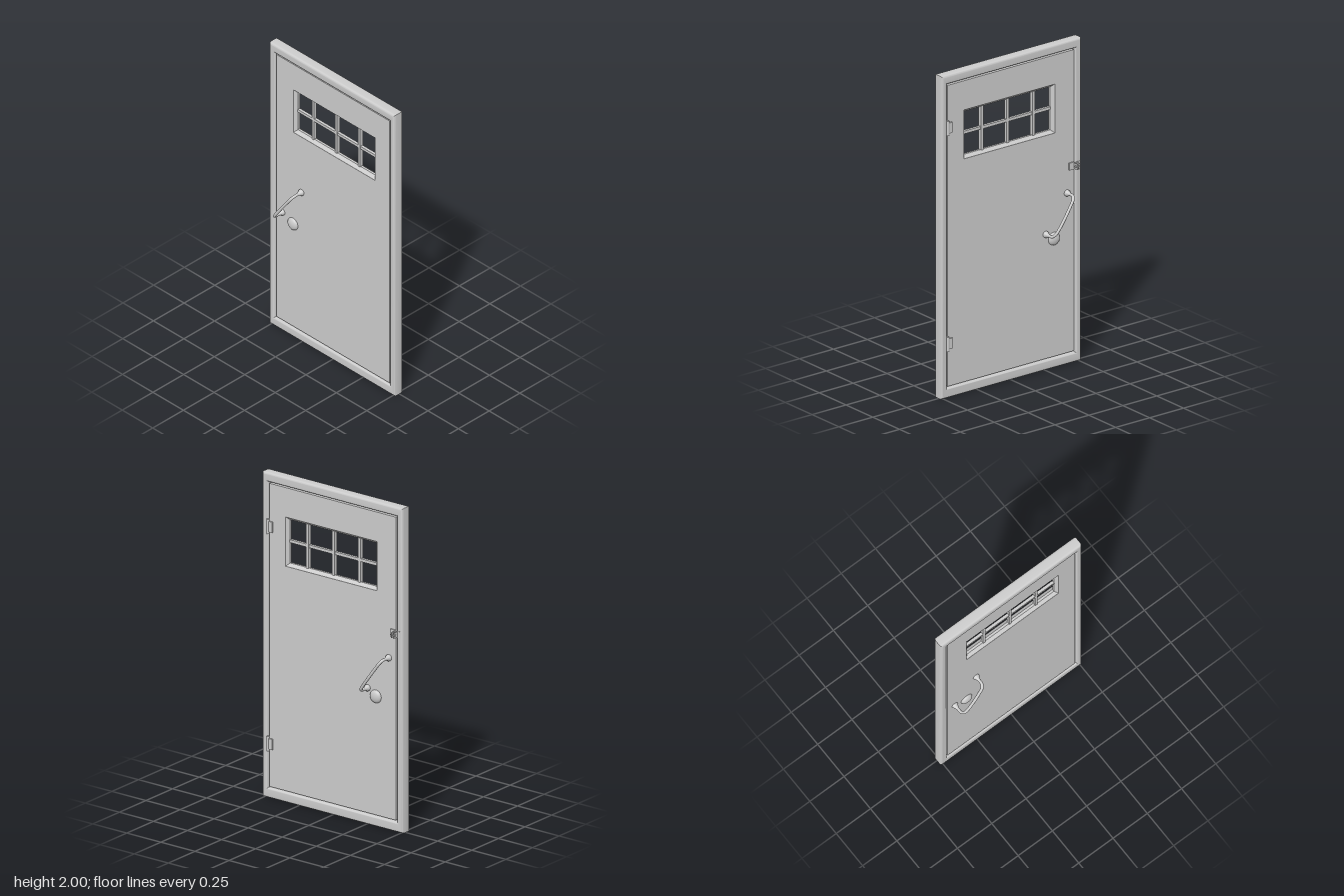
import * as THREE from 'three';
import { toCreasedNormals } from 'three/addons/utils/BufferGeometryUtils.js';

const material = new THREE.MeshStandardMaterial({ color: 0xcccccc });
const FACE = { back: -0.032, front: 0.024 }; // faces of the door leaf along x
const MID = (FACE.back + FACE.front) / 2;

function add(parent, name, geometry, x = 0, y = 0, z = 0) {
  const mesh = new THREE.Mesh(geometry, material);
  mesh.name = name;
  mesh.position.set(x, y, z);
  parent.add(mesh);
  return mesh;
}

function box(parent, name, sx, sy, sz, x, y, z) {
  return add(parent, name, new THREE.BoxGeometry(sx, sy, sz), x, y, z);
}

// Rectangle outline; u runs along -z
function rect(Type, u0, u1, y0, y1) {
  const p = new Type();
  p.moveTo(u0, y0);
  p.lineTo(u1, y0);
  p.lineTo(u1, y1);
  p.lineTo(u0, y1);
  p.closePath();
  return p;
}

// Rectangular slab with a rectangular hole, lying between x0 and x1
function ring(outer, inner, x0, x1, bevel = 0, slope = 0, segments = 1) {
  const shape = rect(THREE.Shape, ...outer);
  shape.holes.push(rect(THREE.Path, ...inner));
  const g = new THREE.ExtrudeGeometry(shape, {
    depth: x1 - x0 - 2 * bevel,
    bevelEnabled: bevel > 0,
    bevelThickness: bevel,
    bevelSize: slope,
    bevelOffset: -slope,
    bevelSegments: segments,
  });
  g.translate(0, 0, x0 + bevel);
  g.rotateY(Math.PI / 2);
  return toCreasedNormals(g, segments > 1 ? 0.7 : 0.4);
}

// Bent grip with flared feet, standing on the plane x = 0, centred in z
function createHandle() {
  const handle = new THREE.Group();
  handle.name = 'handle';
  const top = [1.06, -0.078], bottom = [0.84, 0.078];
  const at = (x, t) => new THREE.Vector3(
    x, THREE.MathUtils.lerp(top[0], bottom[0], t), THREE.MathUtils.lerp(top[1], bottom[1], t));
  const path = new THREE.CatmullRomCurve3([
    at(-0.004, 0), at(0.03, 0), at(0.058, 0.01), at(0.074, 0.08), at(0.08, 0.25),
    at(0.084, 0.5), at(0.084, 0.78), at(0.078, 0.92), at(0.06, 0.99), at(0.03, 1), at(-0.004, 1),
  ]);
  add(handle, 'grip', new THREE.TubeGeometry(path, 60, 0.009, 12));
  const profile = [[0.02, 0], [0.02, 0.008], [0.015, 0.014], [0.011, 0.024], [0.008, 0.034]]
    .map(([r, h]) => new THREE.Vector2(r, h));
  for (const [y, z] of [top, bottom]) {
    add(handle, 'handleFoot', new THREE.LatheGeometry(profile, 16), 0, y, z).rotation.z = -Math.PI / 2;
  }
  return handle;
}

export function createModel() {
  const door = new THREE.Group();
  door.name = 'door';

  // Rounded surround
  add(door, 'frame', ring([-0.515, 0.515, 0, 2], [-0.474, 0.47, 0.062, 1.943],
    -0.04, 0.03, 0.016, 0.013, 5));

  // Door leaf with a window opening
  add(door, 'panel', ring([-0.467, 0.463, 0.07, 1.936], [-0.348, 0.323, 1.452, 1.755],
    FACE.back, FACE.front));

  // Sloping window reveal
  add(door, 'windowReveal', ring([-0.38, 0.355, 1.42, 1.787], [-0.33, 0.305, 1.47, 1.737],
    FACE.back + 0.0008, FACE.front - 0.0008, 0.02, 0.018));

  // Window bars
  for (const z of [0.2, 0.01, -0.18]) {
    box(door, 'windowBarUpright', 0.022, 0.28, 0.018, MID, 1.603, z);
  }
  box(door, 'windowBarCross', 0.018, 0.018, 0.645, MID, 1.605, 0.012);

  // A handle on each side, the back one turned half round
  const frontHandle = createHandle();
  frontHandle.position.set(FACE.front, 0, -0.333);
  const backHandle = createHandle();
  backHandle.position.set(FACE.back, 0, -0.333);
  backHandle.rotation.y = Math.PI;
  door.add(frontHandle, backHandle);

  // Domed lock covers below the handles
  for (const [x, z] of [[FACE.front, -0.315], [FACE.back, -0.325]]) {
    add(door, 'lockCover', new THREE.SphereGeometry(0.04, 24, 16), x, 0.8, z).scale.x = 0.55;
  }

  // Hinges: a leaf on the panel and a barrel over the gap
  for (const y of [1.672, 0.335]) {
    const hinge = new THREE.Group();
    hinge.name = 'hinge';
    hinge.position.y = y;
    box(hinge, 'hingeLeaf', 0.012, 0.065, 0.03, 0.028, 0, 0.453);
    add(hinge, 'hingeBarrel', new THREE.CylinderGeometry(0.009, 0.009, 0.09, 12), 0.03, 0, 0.471);
    door.add(hinge);
  }

  // Latch: panel plate, strike on the frame, and two upright lugs with a pin
  const latch = new THREE.Group();
  latch.name = 'latch';
  latch.position.y = 1.22;
  box(latch, 'latchPlate', 0.012, 0.045, 0.036, 0.026, 0, -0.443);
  box(latch, 'latchStrike', 0.008, 0.04, 0.03, 0.029, 0, -0.49);
  for (const z of [-0.46, -0.477]) {
    box(latch, 'latchLug', 0.04, 0.034, 0.006, 0.045, 0, z);
  }
  add(latch, 'latchPin', new THREE.CylinderGeometry(0.007, 0.007, 0.034, 12), 0.052, 0, -0.468)
    .rotation.x = Math.PI / 2;
  door.add(latch);

  return door;
}
